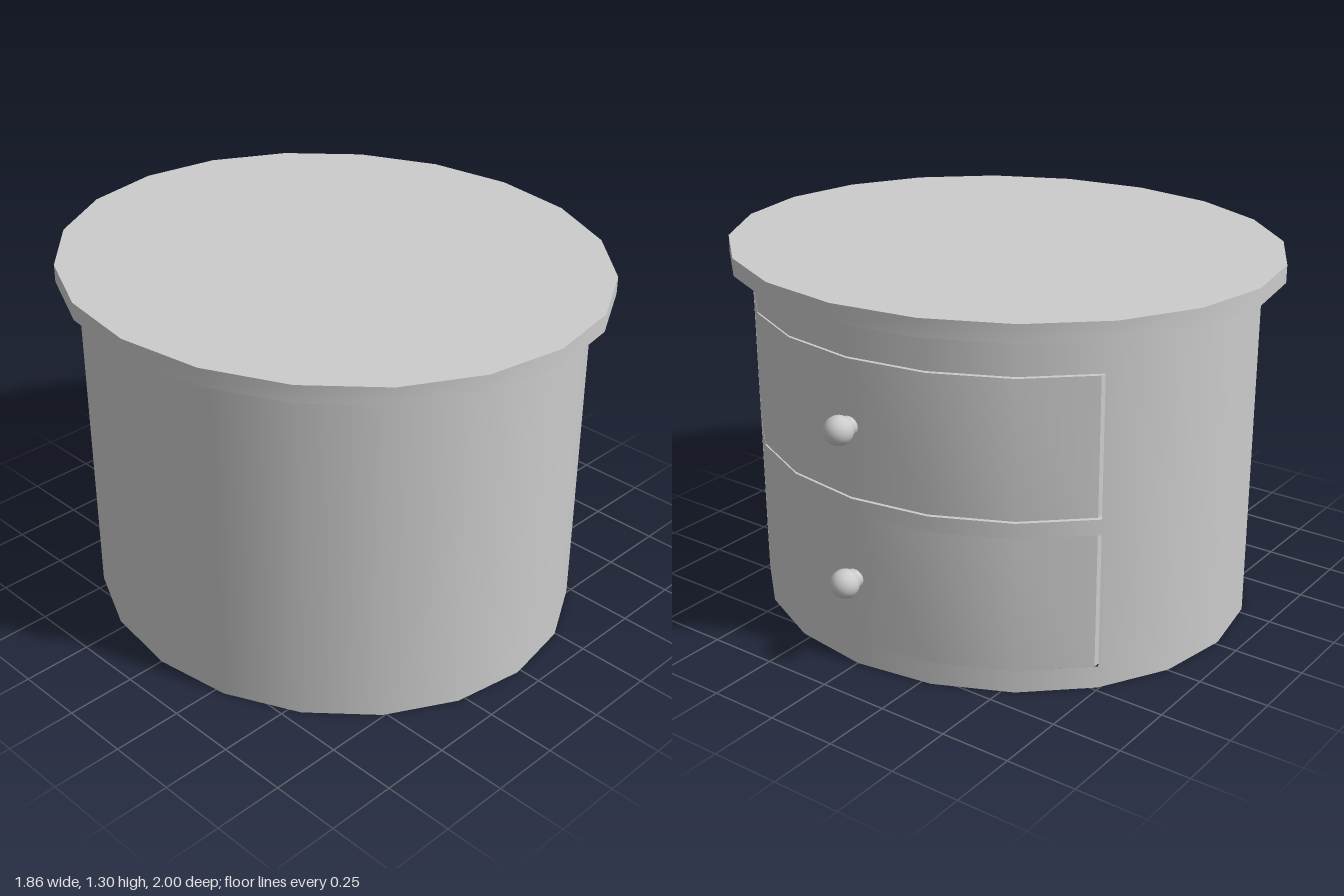
import * as THREE from 'three';
import { mergeGeometries, toCreasedNormals } from 'three/addons/utils/BufferGeometryUtils.js';

const CX = -0.015;            // centre of the oval
const RX = 0.845, RZ = 0.92;  // body half widths
const STEP = Math.PI / 10;    // twenty-sided oval
const HEIGHT = 1.24;

export function createModel() {
  const group = new THREE.Group();
  const grey = new THREE.MeshStandardMaterial({ color: 0xcccccc });
  const thin = new THREE.MeshStandardMaterial({ color: 0xcccccc, side: THREE.DoubleSide });

  const add = (name, geometry, material = grey) => {
    const mesh = new THREE.Mesh(geometry, material);
    mesh.name = name;
    group.add(mesh);
    return mesh;
  };

  // Open strip of the oval wall, counted in sides from the +z vertex
  const wall = (first, count, y0, y1) =>
    new THREE.CylinderGeometry(1, 1, y1 - y0, count, 1, true, first * STEP, count * STEP)
      .scale(RX, 1, RZ)
      .translate(CX, (y0 + y1) / 2, 0);

  // Body shell, open underneath, with two drawer openings facing +x
  add('bodyShell', mergeGeometries([
    wall(8, 14, 0, HEIGHT),
    wall(2, 6, 0, 0.08),
    wall(2, 6, 0.56, 0.615),
    wall(2, 6, 1.108, HEIGHT),
  ]), thin);

  // Overhanging top
  add('top', toCreasedNormals(
    new THREE.CylinderGeometry(1, 1, 0.062, 20).scale(0.915, 1, 1), 0.6
  )).position.set(CX, HEIGHT + 0.031, 0);

  // Drawer outline: curved front, straight sides and back
  const side = 0.735;
  const outline = [new THREE.Vector2(-0.51, -side), new THREE.Vector2(0.49, -side)];
  for (let k = -2; k <= 2; k++) {
    outline.push(new THREE.Vector2(CX + RX * Math.cos(k * STEP), RZ * Math.sin(k * STEP)));
  }
  outline.push(new THREE.Vector2(0.49, side), new THREE.Vector2(-0.51, side));
  const drawer = toCreasedNormals(
    new THREE.ExtrudeGeometry(new THREE.Shape(outline), { depth: 0.48, bevelEnabled: false })
      .rotateX(-Math.PI / 2), 0.6);

  // Drawers with round knobs on short stems
  [['lower', 0.08, 0.325], ['upper', 0.622, 0.872]].forEach(([name, y, knobY]) => {
    add(name + 'Drawer', drawer).position.y = y;
    add(name + 'Knob', new THREE.SphereGeometry(0.05, 24, 16)).position.set(0.879, knobY, 0);
    const stem = add(name + 'KnobStem', new THREE.CylinderGeometry(0.034, 0.034, 0.04, 16));
    stem.rotation.z = Math.PI / 2;
    stem.position.set(0.845, knobY, 0);
  });

  return group;
}
